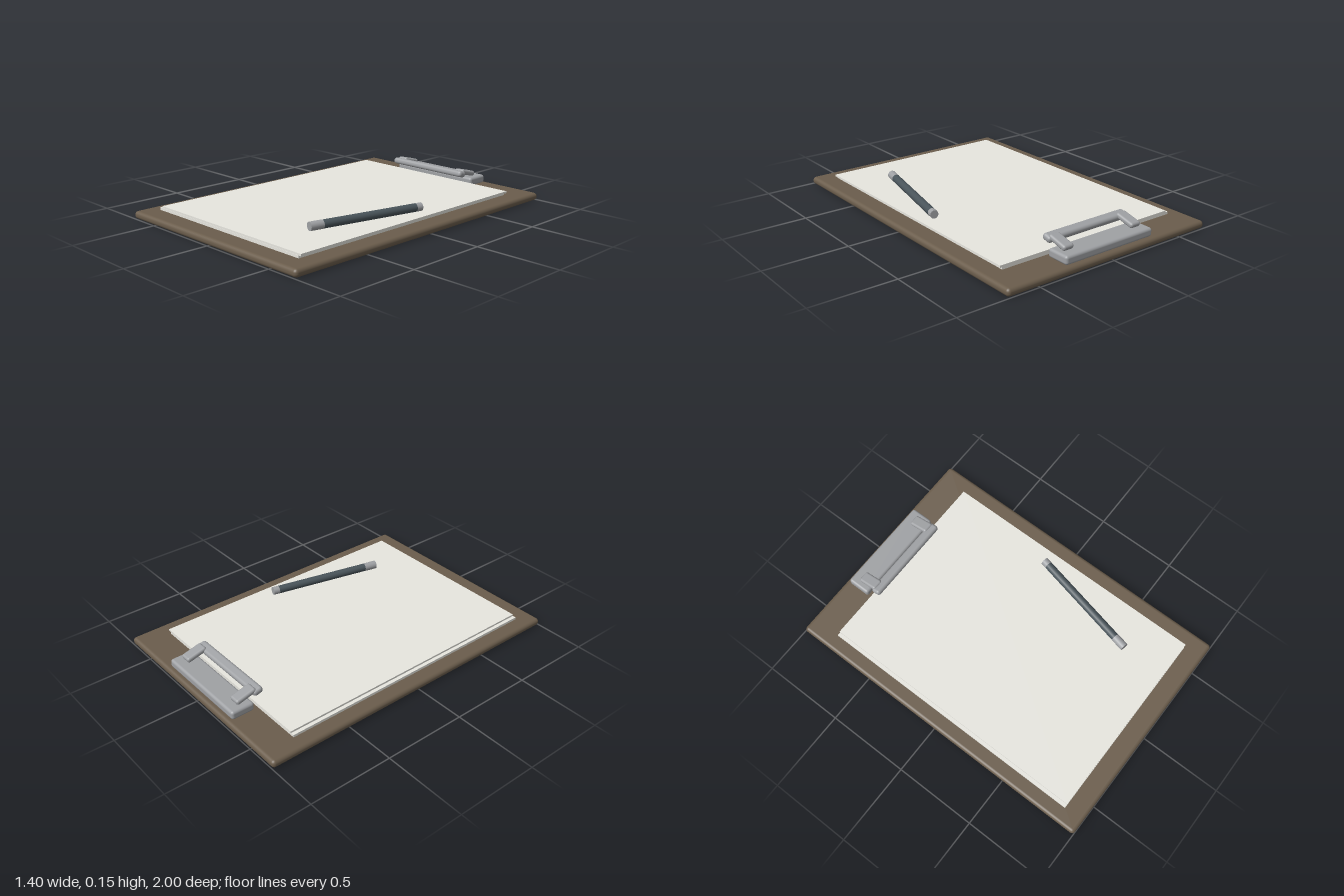
import * as THREE from 'three';
import { RoundedBoxGeometry } from 'three/addons/geometries/RoundedBoxGeometry.js';

function material(name, color) {
  const m = new THREE.MeshStandardMaterial({ color });
  m.name = name;
  return m;
}

export function createModel() {
  const wood = material('brown board', 0x6b5d4c);
  const paper = material('paper white', 0xe8e7e0);
  const metal = material('clip grey', 0x9fa1a4);
  const ink = material('pen slate', 0x49545a);

  const model = new THREE.Group();
  model.name = 'clipboard';

  function add(parent, name, geometry, mat, x, y, z) {
    const mesh = new THREE.Mesh(geometry, mat);
    mesh.name = name;
    mesh.position.set(x, y, z);
    parent.add(mesh);
    return mesh;
  }
  const rounded = (w, h, d, r) => new RoundedBoxGeometry(w, h, d, 4, r);

  // Backing board
  add(model, 'board', rounded(1.4, 0.046, 2, 0.021), wood, 0, 0.023, 0);

  // Two slightly offset stacks of paper
  add(model, 'lowerSheets', new THREE.BoxGeometry(1.196, 0.016, 1.684), paper, -0.014, 0.053, 0.036);
  add(model, 'upperSheets', new THREE.BoxGeometry(1.19, 0.012, 1.684), paper, 0.004, 0.066, 0.034);

  // Clip: base plate, pressing bar and two sloping arms
  const clip = new THREE.Group();
  clip.name = 'clip';
  model.add(clip);
  add(clip, 'clipBase', rounded(0.616, 0.052, 0.143, 0.016), metal, 0, 0.071, -0.902);
  add(clip, 'clipBar', rounded(0.568, 0.04, 0.062, 0.018), metal, 0, 0.125, -0.782).rotation.x = -0.25;
  for (const side of [-1, 1]) {
    const arm = add(clip, side > 0 ? 'leftArm' : 'rightArm',
      rounded(0.07, 0.032, 0.13, 0.014), metal, side * 0.24, 0.122, -0.853);
    arm.rotation.x = -0.25;
  }

  // Pen lying on the paper, its local y running towards the front end
  const pen = new THREE.Group();
  pen.name = 'pen';
  const back = new THREE.Vector3(0.515, 0.098, -0.108);
  const front = new THREE.Vector3(0.355, 0.098, 0.597);
  const axis = front.clone().sub(back);
  const length = axis.length();
  pen.position.copy(back);
  pen.quaternion.setFromUnitVectors(new THREE.Vector3(0, 1, 0), axis.normalize());
  model.add(pen);
  const pieces = [
    ['penEnd', 0, 0.038, 0.0245, metal],
    ['penBarrel', 0.038, length - 0.08, 0.0245, ink],
    ['penCap', length - 0.08, length, 0.0255, metal],
  ];
  for (const [name, from, to, radius, mat] of pieces) {
    add(pen, name, new THREE.CylinderGeometry(radius, radius, to - from, 20), mat, 0, (from + to) / 2, 0);
  }

  return model;
}
